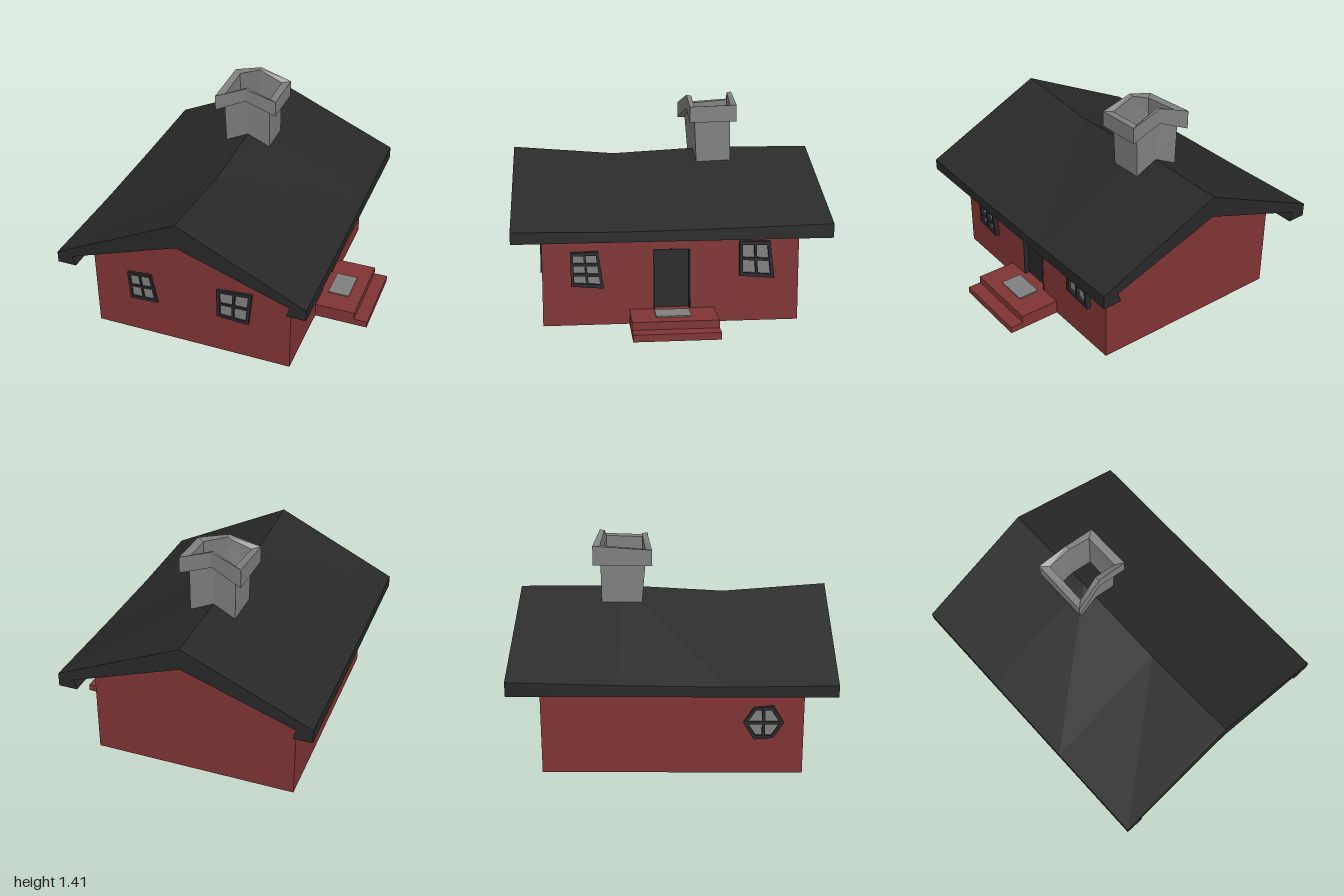
import * as THREE from 'three';

const CX = -0.105; // ridge line of the house
const mat = (color) => new THREE.MeshStandardMaterial({ color, flatShading: true, side: THREE.DoubleSide });
const red = mat(0x803434), black = mat(0x282828), grey = mat(0x808080);

function add(parent, name, geometry, material) {
  const mesh = new THREE.Mesh(geometry, material);
  mesh.name = name;
  parent.add(mesh);
  return mesh;
}

// Box given by its lower and upper corners
function box(parent, name, material, [x0, y0, z0], [x1, y1, z1]) {
  const mesh = add(parent, name, new THREE.BoxGeometry(x1 - x0, y1 - y0, z1 - z0), material);
  mesh.position.set((x0 + x1) / 2, (y0 + y1) / 2, (z0 + z1) / 2);
  return mesh;
}

const toShape = (pts) => new THREE.Shape(pts.map(([x, y]) => new THREE.Vector2(x, y)));

// Joins closed loops of points into a faceted skin, optionally with flat ends
function loft(loops, capped = false) {
  const pos = [];
  const tri = (...pts) => pts.forEach((p) => pos.push(...p));
  const n = loops[0].length;
  for (let i = 0; i < loops.length - 1; i++) {
    for (let j = 0; j < n; j++) {
      const k = (j + 1) % n;
      const a = loops[i][j], b = loops[i][k], c = loops[i + 1][k], d = loops[i + 1][j];
      tri(a, d, b);
      tri(b, d, c);
    }
  }
  if (capped) {
    const first = loops[0], last = loops[loops.length - 1];
    for (const [loop, flip] of [[first, false], [last, true]]) {
      const faces = THREE.ShapeUtils.triangulateShape(loop.map((p) => new THREE.Vector2(p[0], p[1])), []);
      for (const [a, b, c] of faces) flip ? tri(loop[a], loop[c], loop[b]) : tri(loop[a], loop[b], loop[c]);
    }
  }
  const g = new THREE.BufferGeometry();
  g.setAttribute('position', new THREE.Float32BufferAttribute(pos, 3));
  g.computeVertexNormals();
  return g;
}

// Frame with holes and a glass sheet, lying on local z = 0 and facing +z
function windowUnit(name, outline, holes, depth) {
  const group = new THREE.Group();
  group.name = name;
  const frame = toShape(outline);
  frame.holes = holes.map(toShape);
  add(group, 'windowFrame', new THREE.ExtrudeGeometry(frame, { depth, bevelEnabled: false }), black);
  add(group, 'windowGlass', new THREE.ShapeGeometry(toShape(outline)), grey).position.z = depth * 0.35;
  return group;
}

// Crooked four-cornered window (top left, top right, bottom right, bottom left) with a grid of panes
function crookedWindow(name, corners, rows, depth) {
  const [tl, tr, br, bl] = corners;
  const at = (u, v) => [0, 1].map((i) =>
    (1 - v) * ((1 - u) * tl[i] + u * tr[i]) + v * ((1 - u) * bl[i] + u * br[i]));
  const spans = (n) => {
    const edge = 0.1, bar = 0.075, w = (1 - 2 * edge - (n - 1) * bar) / n;
    return Array.from({ length: n }, (_, i) => [edge + i * (w + bar), edge + i * (w + bar) + w]);
  };
  const holes = [];
  for (const [u0, u1] of spans(2))
    for (const [v0, v1] of spans(rows))
      holes.push([at(u0, v0), at(u1, v0), at(u1, v1), at(u0, v1)]);
  return windowUnit(name, corners, holes, depth);
}

function createWalls(root) {
  const W = 0.57, H = 0.57, Z = 0.815, back = 0.53;
  const walls = new THREE.Group();
  walls.name = 'walls';
  root.add(walls);

  // Main block, with the door side built up around the doorway
  box(walls, 'mainBlock', red, [-0.78, 0, -Z], [back, H, Z]);
  box(walls, 'wallBesideDoor', red, [back, 0, 0.12], [W, H, Z]);
  box(walls, 'wallBesideDoor', red, [back, 0, -Z], [W, H, -0.12]);
  box(walls, 'wallAboveDoor', red, [back, 0.485, -0.12], [W, H, 0.12]);
  box(walls, 'doorSill', red, [back, 0, -0.12], [W, 0.095, 0.12]);

  // Gable wedge reaching up under the roof
  const gable = toShape([[W, H], [0.62, 0.632], [CX, 0.884], [-0.83, 0.632], [-0.78, H]]);
  add(walls, 'gable', new THREE.ExtrudeGeometry(gable, { depth: 2 * Z, bevelEnabled: false }), red).position.z = -Z;

  // Recessed door with dark reveals
  box(root, 'door', black, [back, 0.095, -0.119], [back + 0.006, 0.484, 0.119]);
  for (const s of [-1, 1])
    box(root, 'doorJamb', black, [back, 0.095, s * 0.115 - 0.004], [W + 0.001, 0.484, s * 0.115 + 0.004]);
  box(root, 'doorLintel', black, [back, 0.478, -0.119], [W + 0.001, 0.485, 0.119]);

  // Steps and mat
  box(root, 'upperStep', red, [W, 0, -0.27], [0.84, 0.095, 0.27]);
  box(root, 'lowerStep', red, [0.84, 0, -0.27], [0.93, 0.045, 0.27]);
  box(root, 'doorMat', grey, [0.61, 0.095, -0.105], [0.755, 0.103, 0.115]);
}

function createWindows(root) {
  // Front
  const front = [
    crookedWindow('frontWindow', [[-0.54, 0.47], [-0.375, 0.485], [-0.335, 0.275], [-0.53, 0.265]], 2, 0.016),
    crookedWindow('frontWindow', [[0.08, 0.495], [0.32, 0.517], [0.295, 0.275], [0.08, 0.285]], 2, 0.016),
  ];
  front.forEach((w) => { w.position.z = 0.815; root.add(w); });

  // Door side, drawn with -z running to the right
  const side = [
    crookedWindow('doorSideWindow', [[-0.64, 0.477], [-0.465, 0.482], [-0.43, 0.245], [-0.635, 0.262]], 3, 0.03),
    crookedWindow('doorSideWindow', [[0.43, 0.53], [0.625, 0.525], [0.655, 0.285], [0.43, 0.305]], 2, 0.03),
  ];
  side.forEach((w) => { w.rotation.y = Math.PI / 2; w.position.x = 0.57; root.add(w); });

  // Six-sided window on the far side, split into four panes
  const c = [0.565, 0.345];
  const hex = [[0.06, 0.11], [-0.06, 0.1], [-0.125, 0], [-0.06, -0.11], [0.06, -0.1], [0.125, 0]]
    .map(([x, y]) => [c[0] + x, c[1] + y]);
  const panes = [[1, 1], [-1, 1], [-1, -1], [1, -1]].map(([sx, sy]) =>
    [[0.01, 0.01], [0.095, 0.01], [0.048, 0.083], [0.01, 0.083]].map(([x, y]) => [c[0] + sx * x, c[1] + sy * y]));
  const farWindow = windowUnit('sixSidedWindow', hex, panes, 0.018);
  farWindow.rotation.y = -Math.PI / 2;
  farWindow.position.x = -0.78;
  root.add(farWindow);
}

function createRoof(root) {
  // [z, ridge height, eave height]: the ridge sags in the middle
  const stations = [[1, 1.05, 0.645], [0.33, 0.997, 0.635], [-0.33, 1.033, 0.643], [-1, 1.028, 0.66]];
  const loops = stations.map(([z, ridge, eave]) => [
    [0.83, 0.57], [0.83, eave], [0, ridge], [-0.83, eave], [-0.83, 0.57],
    [-0.705, 0.57], [-0.725, 0.635], [0, 0.887], [0.725, 0.635], [0.705, 0.57],
  ].map(([x, y]) => [CX + x, y, z]));
  add(root, 'roof', loft(loops, true), black);
}

function createChimney(root) {
  const chimney = new THREE.Group();
  chimney.name = 'chimney';
  root.add(chimney);

  // Plan corners run: right front, middle front, left front, left back, middle back, right back
  const ring = (plan, heights) => plan.map(([x, z], i) => [x, heights[i], z]);
  const outer = [[0.108, -0.168], [CX, -0.168], [-0.307, -0.13], [-0.307, -0.51], [CX, -0.475], [0.108, -0.48]];
  const inner = [[0.055, -0.205], [CX, -0.202], [-0.257, -0.175], [-0.257, -0.465], [CX, -0.445], [0.055, -0.445]];
  const foot = [[0.05, -0.22], [CX, -0.215], [-0.255, -0.2], [-0.255, -0.46], [CX, -0.445], [0.05, -0.45]];
  const low = [1.225, 1.3, 1.215, 1.22, 1.305, 1.23];
  const high = [1.33, 1.39, 1.32, 1.345, 1.41, 1.34];
  const innerLow = low.map((y) => y + 0.01);

  add(chimney, 'chimneyShaft', loft([ring(foot, [0.94, 1, 0.94, 0.94, 1, 0.94]), ring(inner, innerLow)]), grey);
  add(chimney, 'chimneyCap', loft([
    ring(inner, innerLow), ring(outer, low), ring(outer, high),
    ring(inner, high.map((y) => y - 0.005)), ring(inner, innerLow),
  ]), grey);
}

export function createModel() {
  const root = new THREE.Group();
  root.name = 'cottage';
  createWalls(root);
  createWindows(root);
  createRoof(root);
  createChimney(root);
  return root;
}
